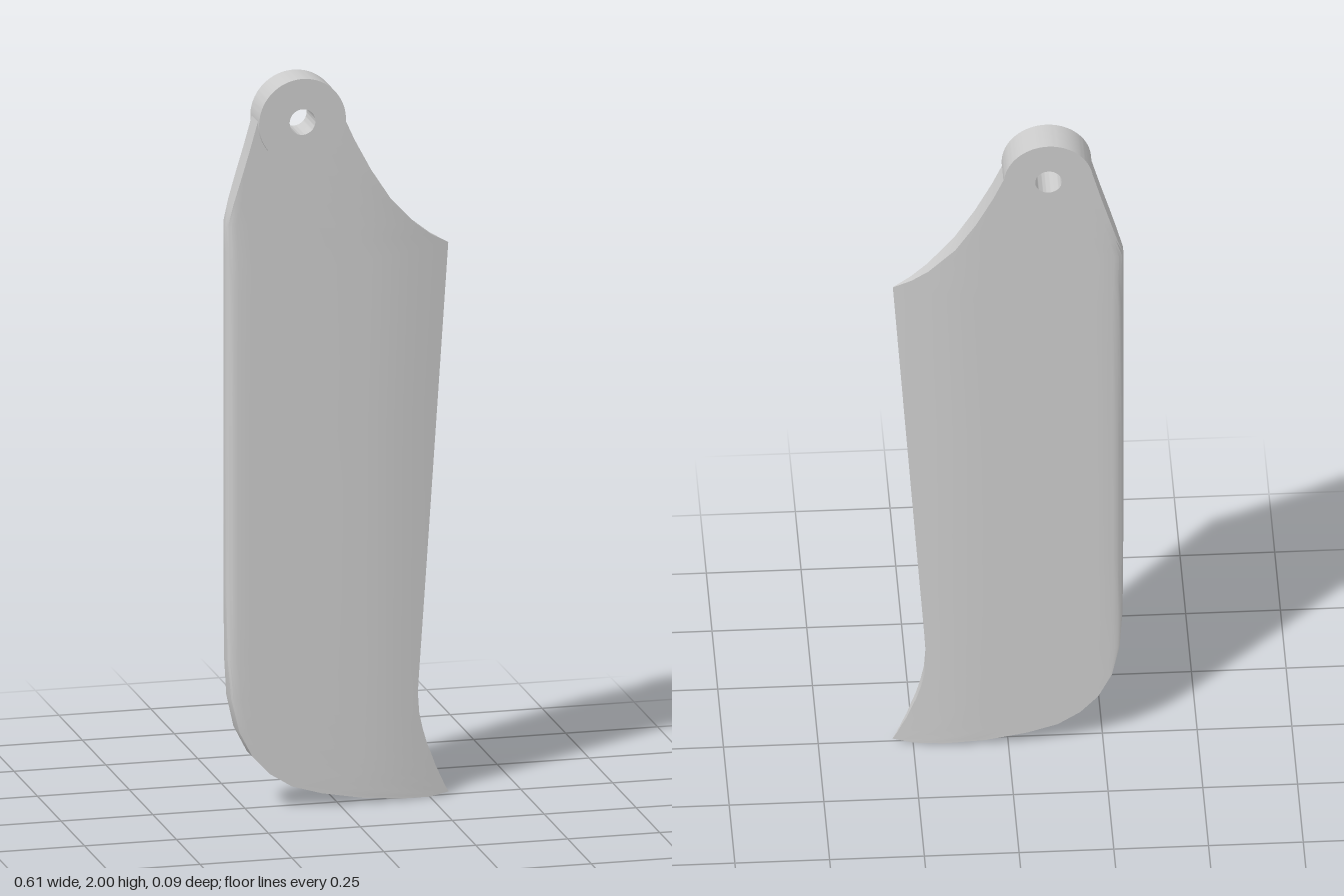
import * as THREE from 'three';
import { toCreasedNormals } from 'three/addons/utils/BufferGeometryUtils.js';

// Half thickness of the aerofoil across the blade: [x, half thickness]
const FOIL = [[-0.306, 0.012], [-0.3, 0.023], [-0.29, 0.029], [-0.275, 0.032], [0.06, 0.032],
  [0.11, 0.0305], [0.15, 0.027], [0.2, 0.02], [0.25, 0.011], [0.305, 0]];

function halfThickness(x) {
  for (let i = 1; i < FOIL.length; i++) {
    const [x0, h0] = FOIL[i - 1], [x1, h1] = FOIL[i];
    if (x <= x1) return THREE.MathUtils.mapLinear(Math.max(x, x0), x0, x1, h0, h1);
  }
  return 0;
}

// Matching outline points, root to tip: [leading x, y, trailing x, y]
const ROWS = [
  [-0.222, 1.89, 0.013, 1.88], [-0.246, 1.805, 0.04, 1.82], [-0.268, 1.732, 0.085, 1.735],
  [-0.288, 1.665, 0.14, 1.65], [-0.305, 1.61, 0.21, 1.575], [-0.305, 1.53, 0.255, 1.54],
  [-0.305, 1.45, 0.303, 1.513],
  [-0.305, 1.0, 0.27, 1.05], [-0.304, 0.6, 0.24, 0.63], [-0.302, 0.42, 0.219, 0.34],
  [-0.294, 0.31, 0.216, 0.29], [-0.273, 0.22, 0.22, 0.235], [-0.237, 0.15, 0.23, 0.19],
  [-0.19, 0.1, 0.242, 0.15], [-0.13, 0.062, 0.254, 0.12], [-0.05, 0.038, 0.267, 0.085],
  [0.06, 0.018, 0.28, 0.058], [0.17, 0.006, 0.29, 0.036], [0.25, 0.002, 0.298, 0.02],
  [0.304, 0.01, 0.304, 0.01],
];
const STEPS = [0, 0.01, 0.025, 0.05, 0.12, 0.22, 0.34, 0.46, 0.56, 0.65, 0.73, 0.81, 0.88, 0.94, 1];

function bladeGeometry() {
  const pos = [], index = [], ring = STEPS.length * 2;
  ROWS.forEach(([lx, ly, rx, ry], i) => {
    // the root row dips below the bolt hole
    const sag = i === 0 ? 0.075 : i === 1 ? 0.02 : 0;
    const point = (s, side) => {
      const x = lx + (rx - lx) * s;
      pos.push(x, ly + (ry - ly) * s - sag * Math.sin(Math.PI * s), side * halfThickness(x));
    };
    STEPS.forEach((s) => point(s, 1));
    [...STEPS].reverse().forEach((s) => point(s, -1));
  });
  for (let i = 0; i < ROWS.length - 1; i++) {
    for (let k = 0; k < ring; k++) {
      const n = (k + 1) % ring;
      const a = i * ring + k, b = a + ring, c = (i + 1) * ring + n, d = i * ring + n;
      index.push(a, b, c, a, c, d);
    }
  }
  const g = new THREE.BufferGeometry();
  g.setAttribute('position', new THREE.Float32BufferAttribute(pos, 3));
  g.setIndex(index);
  return toCreasedNormals(g, 0.6);
}

function hubGeometry() {
  const shape = new THREE.Shape().absarc(0, 0, 0.118, 0, Math.PI * 2);
  shape.holes.push(new THREE.Path().absarc(0, 0, 0.035, 0, Math.PI * 2, true));
  const g = new THREE.ExtrudeGeometry(shape, { depth: 0.095, bevelEnabled: false, curveSegments: 48 });
  g.translate(-0.105, 1.882, -0.0485);
  return toCreasedNormals(g, 0.6);
}

export function createModel() {
  const material = new THREE.MeshStandardMaterial({ color: 0xcccccc });
  const group = new THREE.Group();
  group.name = 'rotorBlade';

  // Tapered blade with a swept tip
  const blade = new THREE.Mesh(bladeGeometry(), material);
  blade.name = 'blade';

  // Round mounting boss with its bolt hole
  const hub = new THREE.Mesh(hubGeometry(), material);
  hub.name = 'mountingHub';

  group.add(blade, hub);
  return group;
}
